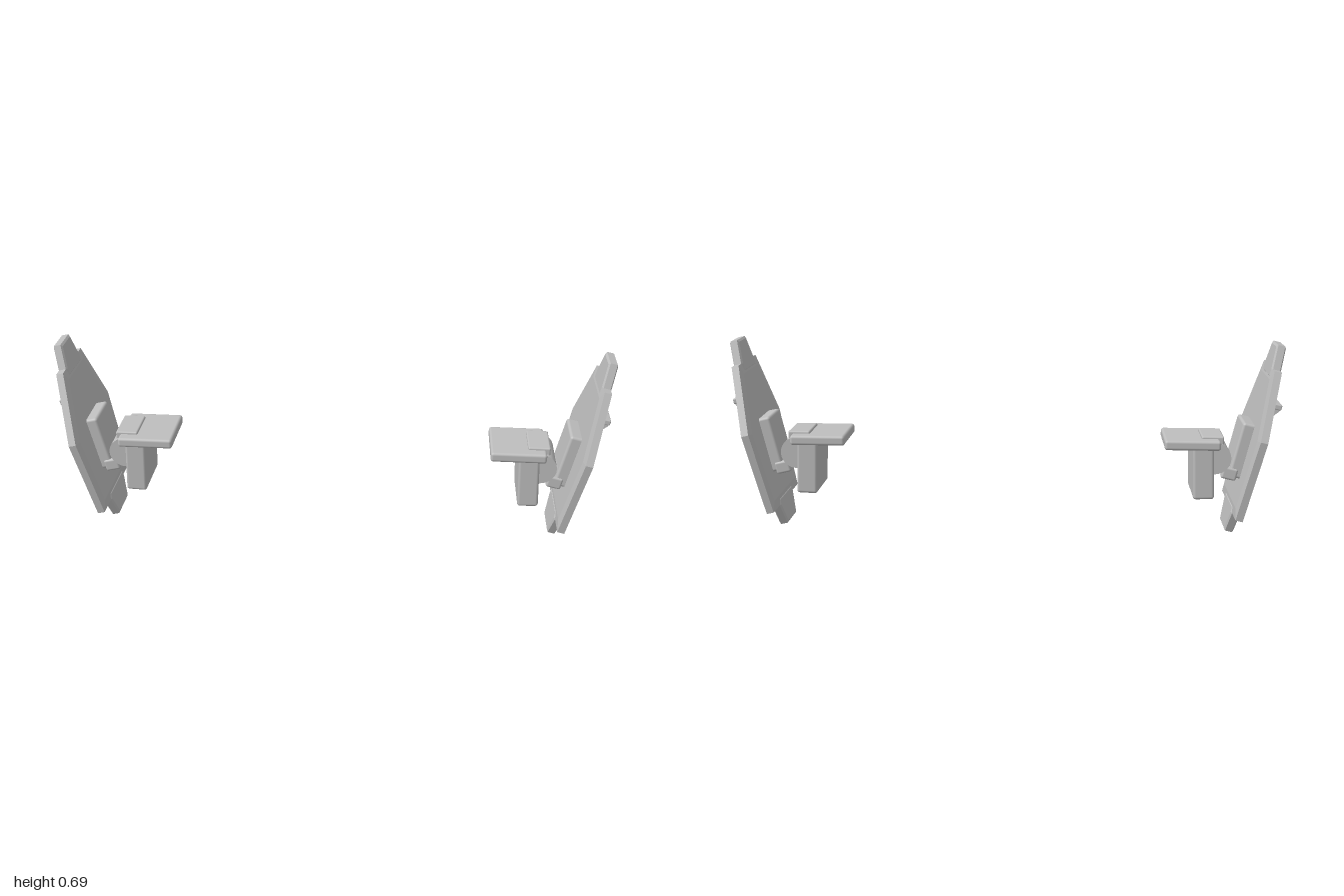
import * as THREE from 'three';
import { RoundedBoxGeometry } from 'three/addons/geometries/RoundedBoxGeometry.js';

const TILT = 0.227; // outward lean of the shield
const K = 1 / Math.cos(TILT);

export function createModel() {
  const grey = new THREE.MeshStandardMaterial({ color: 0xbebebe });
  grey.name = 'grey armour';

  const add = (parent, name, geometry, x = 0, y = 0, z = 0) => {
    const m = new THREE.Mesh(geometry, grey);
    m.name = name;
    m.position.set(x, y, z);
    parent.add(m);
    return m;
  };

  // Symmetric bevelled slab: [half width, height] pairs from bottom to top,
  // filling thickness n0..n1 along the shield's outward normal.
  const slab = (half, n0, n1, size, thick) => {
    const pts = half.map(([w, y]) => new THREE.Vector2(w, y * K));
    const left = half.map(([w, y]) => new THREE.Vector2(-w, y * K)).reverse();
    const g = new THREE.ExtrudeGeometry(new THREE.Shape([...pts, ...left]), {
      depth: n1 - n0 - 2 * thick, bevelEnabled: true, bevelSegments: 1,
      bevelSize: size, bevelOffset: -size, bevelThickness: thick,
    });
    g.translate(0, 0, n0 + thick);
    return g.rotateY(Math.PI / 2);
  };

  const box = (w, h, d, r = 0.008) => new RoundedBoxGeometry(w, h, d, 2, r);

  function buildSide() {
    const side = new THREE.Group();

    // Leaning shield
    const shield = new THREE.Group();
    shield.name = 'shield';
    shield.position.set(0.822, 0.004, 0);
    shield.rotation.z = -TILT;
    side.add(shield);

    add(shield, 'shieldPlate',
      slab([[0.188, 0.08], [0.225, 0.375], [0.114, 0.605]], -0.018, 0.018, 0.035, 0.005));
    add(shield, 'topTab',
      slab([[0.078, 0.573], [0.078, 0.605], [0.05, 0.687]], -0.0175, 0.0175, 0.008, 0.005));
    add(shield, 'bottomTab',
      slab([[0.065, 0.002], [0.098, 0.08], [0.091, 0.105]], -0.0175, 0.0175, 0.008, 0.005));

    // Raised outer panel with centre bar and corner bolts
    add(shield, 'panelFrame',
      slab([[0.075, 0.117], [0.086, 0.128], [0.078, 0.4], [0.066, 0.413]], 0.01, 0.028, 0.005, 0.005));
    add(shield, 'panelFace',
      slab([[0.062, 0.132], [0.067, 0.142], [0.058, 0.382], [0.05, 0.393]], 0.02, 0.04, 0.006, 0.006));
    add(shield, 'centreBar',
      slab([[0.012, 0.162], [0.017, 0.17], [0.017, 0.345], [0.012, 0.353]], 0.03, 0.047, 0.004, 0.005));
    for (const [w, y] of [[0.075, 0.132], [0.07, 0.391]]) {
      for (const s of [-1, 1]) {
        const bolt = new THREE.CylinderGeometry(0.007, 0.009, 0.018, 12).rotateZ(-Math.PI / 2);
        add(shield, 'bolt', bolt, 0.027, y * K, s * w);
      }
    }

    // Hooded bracket above the panel
    const wedge = (x1, d) => {
      const s = new THREE.Shape([[0.01, 0.435], [0.03, 0.435], [x1, 0.465], [x1, 0.472], [0.01, 0.472]]
        .map(([x, y]) => new THREE.Vector2(x, y * K)));
      return new THREE.ExtrudeGeometry(s, { depth: d, bevelEnabled: false }).translate(0, 0, -d / 2);
    };
    add(shield, 'bracketHood', box(0.05, 0.02, 0.13, 0.004), 0.035, 0.478 * K, 0);
    add(shield, 'bracketCore', wedge(0.04, 0.115));
    for (const s of [-1, 1]) add(shield, 'bracketCheek', wedge(0.055, 0.009), 0, 0, s * 0.058);

    // Backing pad on the inner face
    add(shield, 'backingPad', box(0.05, 0.205, 0.155, 0.01), -0.034, 0.3 * K, 0);

    // Hinge between shield and mount
    const hinge = new THREE.Group();
    hinge.name = 'hinge';
    side.add(hinge);
    add(hinge, 'hingeBarrel',
      new THREE.CylinderGeometry(0.058, 0.058, 0.17, 28).rotateX(Math.PI / 2), 0.76, 0.285, 0);
    add(hinge, 'hingeArm', box(0.1, 0.06, 0.1), 0.81, 0.25, 0).rotation.z = -TILT;
    for (const s of [-1, 1]) {
      add(hinge, 'hingeLug', box(0.055, 0.045, 0.035), 0.815, 0.228, s * 0.065).rotation.z = -TILT;
    }

    // Shoulder mount: hanging block and flat shelf
    const mount = new THREE.Group();
    mount.name = 'shoulderMount';
    side.add(mount);
    add(mount, 'mountBlock', box(0.075, 0.2, 0.2, 0.01), 0.72, 0.235, 0).rotation.z = 0.04;
    add(mount, 'shelf', box(0.2, 0.036, 0.216, 0.01), 0.678, 0.336, 0);
    add(mount, 'shelfPad', box(0.08, 0.045, 0.14, 0.006), 0.752, 0.34, 0);
    return side;
  }

  const model = new THREE.Group();
  model.name = 'shoulderShields';
  const left = buildSide();
  left.name = 'leftShoulder';
  const right = buildSide();
  right.name = 'rightShoulder';
  right.rotation.y = Math.PI; // each side is symmetric front to back
  model.add(left, right);
  return model;
}
